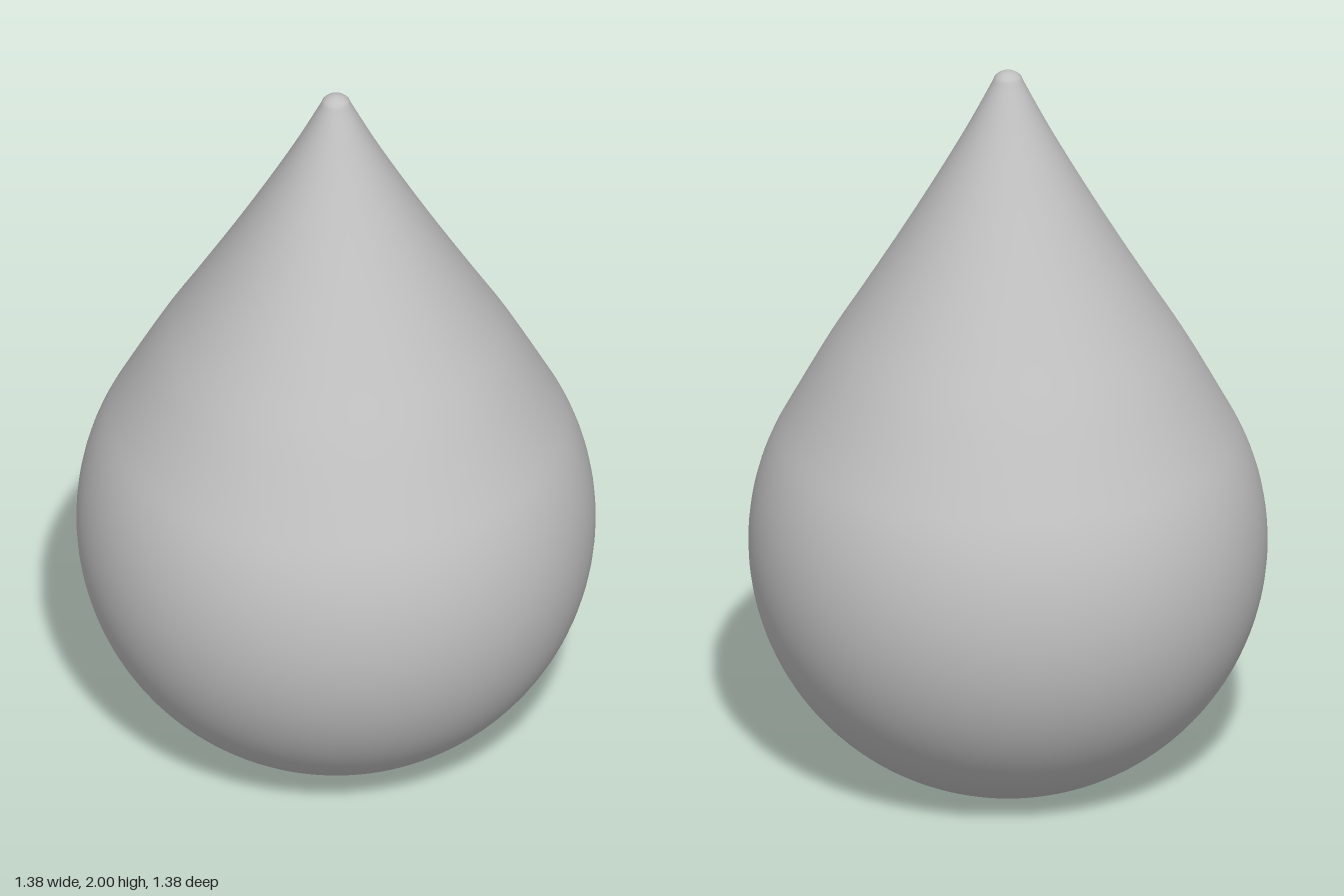
import * as THREE from 'three';

export function createModel() {
  const group = new THREE.Group();
  const grey = new THREE.MeshStandardMaterial({ color: 0xc0c0c0, side: THREE.DoubleSide });
  grey.name = 'plain grey';

  const add = (name, geometry, y = 0) => {
    const mesh = new THREE.Mesh(geometry, grey);
    mesh.name = name;
    mesh.position.y = y;
    group.add(mesh);
  };

  // Teardrop profile: round belly, slightly hollow flank, small round tip
  const R = 0.688, centre = 0.637, baseR = Math.sqrt(R * R - centre * centre);
  const profile = [];
  const a0 = Math.atan2(-centre, baseR), a1 = 0.5;
  for (let i = 0; i <= 40; i++) {
    const a = a0 + (a1 - a0) * i / 40;
    profile.push(new THREE.Vector2(R * Math.cos(a), centre + R * Math.sin(a)));
  }
  const flank = new THREE.SplineCurve([
    profile[40],
    new THREE.Vector2(0.49, 1.178),
    new THREE.Vector2(0.395, 1.335),
    new THREE.Vector2(0.296, 1.5),
    new THREE.Vector2(0.2, 1.667),
    new THREE.Vector2(0.111, 1.83),
    new THREE.Vector2(0.04, 1.972),
  ]);
  profile.push(...flank.getPoints(36).slice(1));
  for (let i = 1; i <= 8; i++) {
    const a = 0.48 + (Math.PI / 2 - 0.48) * i / 8;
    profile.push(new THREE.Vector2(Math.max(0, 0.045 * Math.cos(a)), 1.955 + 0.045 * Math.sin(a)));
  }
  add('body', new THREE.LatheGeometry(profile, 96));

  // Flat foot around the round socket
  const socketR = 0.215, socketDepth = 0.126;
  add('foot', new THREE.RingGeometry(socketR, baseR, 96).rotateX(Math.PI / 2));
  add('socketWall', new THREE.CylinderGeometry(socketR, socketR, socketDepth, 96, 1, true), socketDepth / 2);

  // Socket ceiling with a square recess
  const half = 0.14, recessDepth = 0.3;
  const ceiling = new THREE.Shape().absarc(0, 0, socketR, 0, Math.PI * 2);
  ceiling.holes.push(new THREE.Path().setFromPoints(
    [[-1, -1], [-1, 1], [1, 1], [1, -1]].map(([x, y]) => new THREE.Vector2(x * half, y * half))));
  add('socketCeiling', new THREE.ShapeGeometry(ceiling, 48).rotateX(Math.PI / 2), socketDepth);

  for (let i = 0; i < 4; i++) {
    const wall = new THREE.PlaneGeometry(half * 2, recessDepth).translate(0, 0, -half).rotateY(i * Math.PI / 2);
    add('recessWall', wall, socketDepth + recessDepth / 2);
  }
  add('recessCeiling', new THREE.PlaneGeometry(half * 2, half * 2).rotateX(Math.PI / 2), socketDepth + recessDepth);

  return group;
}
